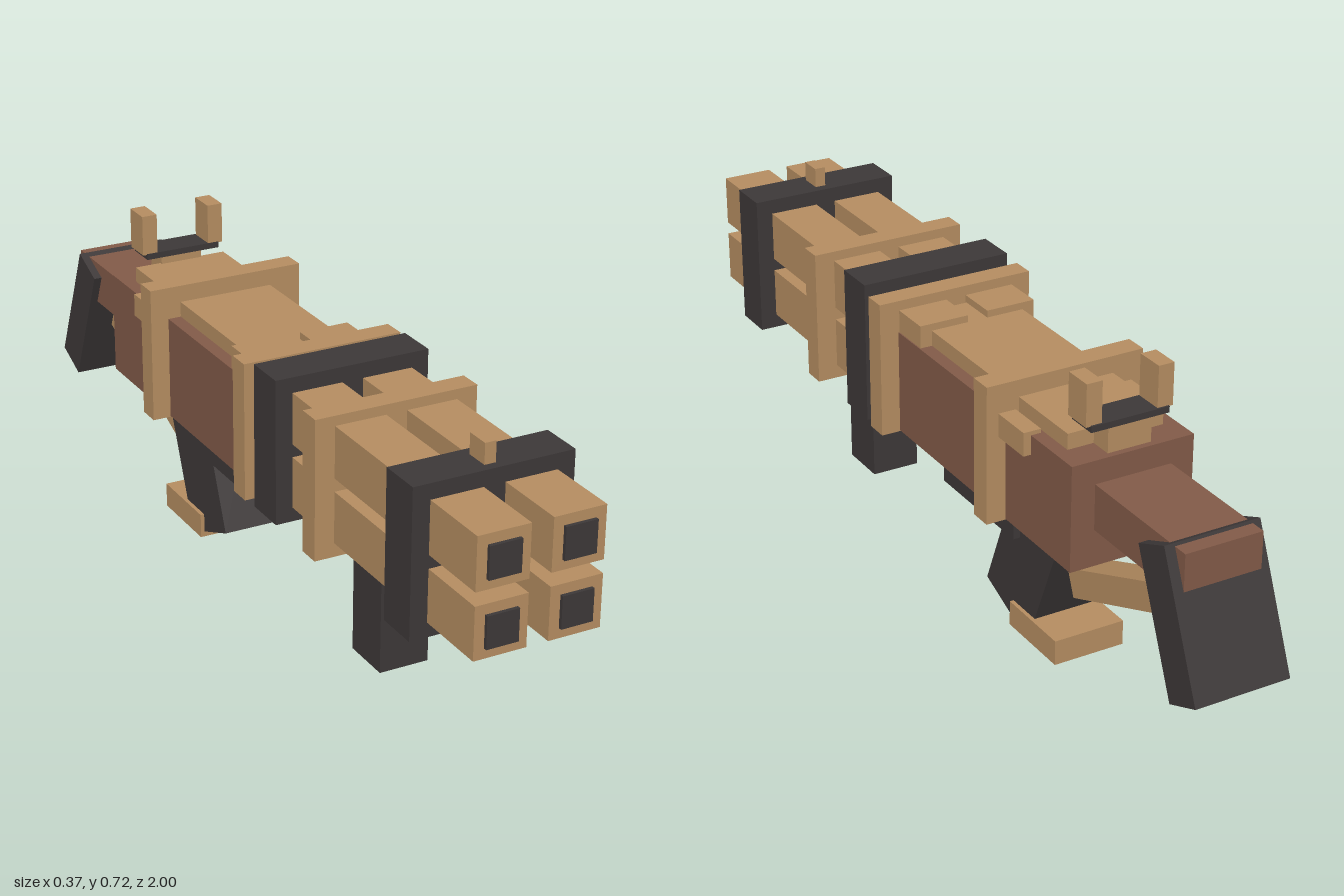
import * as THREE from 'three';

const mat = (name, color) => {
  const m = new THREE.MeshStandardMaterial({ color });
  m.name = name;
  return m;
};

export function createModel() {
  const tan = mat('tan', 0xb58d61);
  const dark = mat('charcoal', 0x3d3838);
  const brown = mat('brown', 0x825a48);
  const model = new THREE.Group();
  model.name = 'launcher';

  // Box from its extents on each axis
  const box = (name, m, [x0, x1], [y0, y1], [z0, z1]) => {
    const mesh = new THREE.Mesh(new THREE.BoxGeometry(x1 - x0, y1 - y0, z1 - z0), m);
    mesh.position.set((x0 + x1) / 2, (y0 + y1) / 2, (z0 + z1) / 2);
    mesh.name = name;
    model.add(mesh);
    return mesh;
  };
  // Box of a given size, tilted about x
  const tilted = (name, m, [w, h, d], [y, z], angle) => {
    const mesh = box(name, m, [-w / 2, w / 2], [y - h / 2, y + h / 2], [z - d / 2, z + d / 2]);
    mesh.rotation.x = angle;
    return mesh;
  };

  // Four square barrels with dark bores
  for (const x of [-0.0825, 0.08]) {
    for (const y of [0.416, 0.559]) {
      box('barrel', tan, [x - 0.0575, x + 0.0575], [y - 0.057, y + 0.057], [0.01, 0.992]);
      box('bore', dark, [x - 0.035, x + 0.035], [y - 0.035, y + 0.035], [0.991, 1]);
    }
  }

  // Clamps around barrels and body
  for (const z of [0.78, 0.237])
    box('darkClamp', dark, [-0.178, 0.176], [0.327, 0.65], [z - 0.048, z + 0.048]);
  for (const z of [0.438, 0.13, -0.325])
    box('tanClamp', tan, [-0.184, 0.184], [0.328, 0.638], [z - 0.026, z + 0.026]);

  // Body, cover and side lugs
  box('body', brown, [-0.142, 0.14], [0.33, 0.565], [-0.602, 0.107]);
  box('topCover', tan, [-0.112, 0.11], [0.55, 0.6], [-0.537, 0.1]);
  for (const s of [-1, 1])
    box('sideLug', tan, [s * 0.137 - 0.02, s * 0.137 + 0.02], [0.522, 0.574], [-0.449, -0.33]);

  // Sights
  box('frontSight', tan, [-0.013, 0.012], [0.64, 0.695], [0.755, 0.808]);
  box('rearSightBase', tan, [-0.05, 0.05], [0.56, 0.623], [-0.588, -0.53]);
  box('rearSightPlate', dark, [-0.09, 0.09], [0.62, 0.634], [-0.59, -0.52]);
  for (const s of [-1, 1])
    box('rearSightPost', tan, [s * 0.082 - 0.018, s * 0.082 + 0.018], [0.632, 0.725], [-0.586, -0.521]);

  // Grips and trigger parts
  box('foregrip', dark, [-0.057, 0.056], [0.062, 0.362], [0.397, 0.512]);
  box('lowerHousing', dark, [-0.091, 0.09], [0.242, 0.34], [-0.3, -0.002]);
  box('triggerGuard', tan, [-0.03, 0.03], [0.2, 0.236], [-0.24, -0.037]);
  tilted('pistolGrip', dark, [0.148, 0.36, 0.185], [0.21, -0.317], -0.387);
  box('gripFoot', tan, [-0.083, 0.083], [0.02, 0.077], [-0.46, -0.275]);

  // Stock, strut and butt plate
  box('stock', brown, [-0.09, 0.086], [0.412, 0.513], [-0.913, -0.59]);
  tilted('stockStrut', tan, [0.08, 0.063, 0.46], [0.284, -0.66], 0.385);
  tilted('buttPlate', dark, [0.217, 0.315, 0.092], [0.356, -0.895], 0.4);

  return model;
}
